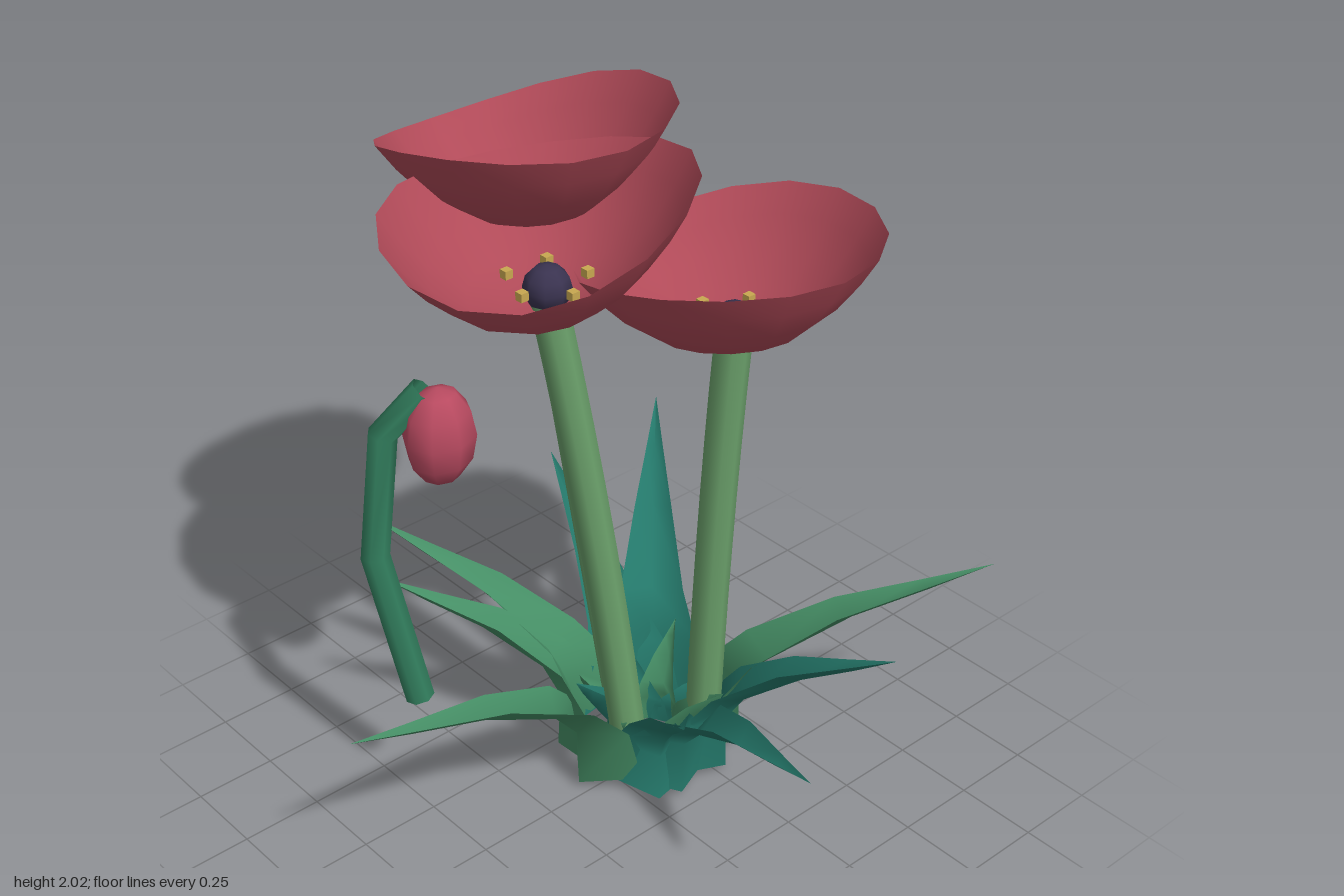
import * as THREE from 'three';

const mat = (color, side = THREE.FrontSide) => new THREE.MeshStandardMaterial({ color, side, roughness: 0.8 });
const petalMat = mat(0xb04a58, THREE.DoubleSide);
const budMat = mat(0xb84a60);
const stemMat = mat(0x6a9f6a, THREE.DoubleSide);
const budStemMat = mat(0x33805f, THREE.DoubleSide);
const pistilMat = mat(0x3a3350);
const stamenMat = mat(0xc8a850);
const tealMat = mat(0x257a6c, THREE.DoubleSide);
const greenMat = mat(0x468f66, THREE.DoubleSide);
const CENTRE = [-0.04, -0.175];
const V = (x, y, z) => new THREE.Vector3(x, y, z);

function add(parent, name, geometry, material, x = 0, y = 0, z = 0) {
  const mesh = new THREE.Mesh(geometry, material);
  mesh.name = name;
  mesh.position.set(x, y, z);
  parent.add(mesh);
  return mesh;
}

// Bowl-shaped bloom; tiltX and tiltZ raise one side of the rim, saddle and twist bend it
function bowl({ depth, tiltX, tiltZ, saddle, twist, shift }) {
  const R = 0.422;
  const profile = [0.001, 0.25, 0.5, 0.72, 0.88, 1].map(t => new THREE.Vector2(R * t, depth * Math.pow(t, 2.4)));
  const geo = new THREE.LatheGeometry(profile, 16);
  const p = geo.attributes.position;
  for (let i = 0; i < p.count; i++) {
    const x = p.getX(i), z = p.getZ(i);
    const t = Math.hypot(x, z) / R, a = Math.atan2(z, x);
    const lift = Math.pow(t, 1.3) * (tiltX * Math.cos(a) + tiltZ * Math.sin(a))
      + t * t * (saddle * Math.cos(2 * a) - twist * Math.sin(2 * a));
    p.setXYZ(i, x + shift[0] * t * t, p.getY(i) + lift, z + shift[1] * t * t);
  }
  geo.computeVertexNormals();
  return geo;
}

function flower(f) {
  const g = new THREE.Group();
  g.name = 'flower';
  const [x, y, z] = f.top;
  add(g, 'petalBowl', bowl(f), petalMat, x, y, z);
  add(g, 'pistil', new THREE.SphereGeometry(0.068, 8, 6), pistilMat, x, y + 0.05, z);
  // Ring of five stamens
  for (let i = 0; i < 5; i++) {
    const a = f.turn + i * Math.PI * 2 / 5;
    add(g, 'stamen', new THREE.BoxGeometry(0.025, 0.025, 0.025), stamenMat,
      x + 0.113 * Math.cos(a), y + 0.075, z + 0.113 * Math.sin(a));
  }
  // Gently curved stem
  const [bx, bz] = f.base;
  const mid = V((x + bx) / 2 + f.bow[0], 0.8, (z + bz) / 2 + f.bow[1]);
  const curve = new THREE.QuadraticBezierCurve3(V(bx, 0.02, bz), mid, V(x, y + 0.02, z));
  add(g, 'stem', new THREE.TubeGeometry(curve, 8, 0.053, 8), stemMat);
  return g;
}

// Folded blade that rises upright from the base, then arches out to its tip
function leaf(tip, baseRadius, halfWidth) {
  const dx = tip[0] - CENTRE[0], dz = tip[2] - CENTRE[1];
  const reach = Math.hypot(dx, dz), ux = dx / reach, uz = dz / reach;
  // along, height, width, outward fold, drop of the fold
  const rows = [[0, 0.05, 1, 0.11, 0.03], [0.04, 0.34, 0.88, 0.08, 0.02], [0.17, 0.53, 0.66, 0.06, 0.036],
    [0.47, 0.76, 0.4, 0.05, 0.03], [0.76, 0.89, 0.18, 0.025, 0.015], [1, 1, 0.004, 0, 0]];
  const pos = [], idx = [];
  rows.forEach(([s, h, w, fold, drop], i) => {
    const r = baseRadius + (reach - baseRadius) * s;
    for (const k of [-1, 0, 1]) {
      const out = r + (k === 0 ? fold : 0), side = k * w * halfWidth;
      // the clump is slightly longer front to back at its foot
      const stretch = 1 + 0.12 * Math.max(0, 1 - 5 * s);
      pos.push(CENTRE[0] + ux * out - uz * side, h * tip[1] - (k === 0 ? drop : 0),
        CENTRE[1] + (uz * out + ux * side) * stretch);
    }
    if (i) for (const k of [0, 1]) {
      const a = (i - 1) * 3 + k, b = a + 3;
      idx.push(a, a + 1, b, a + 1, b + 1, b);
    }
  });
  const geo = new THREE.BufferGeometry();
  geo.setAttribute('position', new THREE.Float32BufferAttribute(pos, 3));
  geo.setIndex(idx);
  geo.computeVertexNormals();
  return geo;
}

export function createModel() {
  const model = new THREE.Group();
  model.name = 'flowerClump';

  const flowers = [
    { top: [-0.125, 1.605, 0.125], depth: 0.28, tiltX: 0.02, tiltZ: -0.075, saddle: 0, twist: 0.04,
      shift: [-0.01, 0.02], base: [0.04, -0.04], bow: [0.03, -0.02], turn: -1.2 },
    { top: [-0.475, 1.645, -0.12], depth: 0.287, tiltX: 0.093, tiltZ: 0, saddle: -0.035, twist: 0,
      shift: [-0.025, 0.005], base: [-0.13, -0.16], bow: [0.02, 0], turn: -0.3 },
    { top: [0.12, 1.43, -0.33], depth: 0.285, tiltX: 0.075, tiltZ: -0.015, saddle: -0.02, twist: -0.015,
      shift: [-0.02, 0.01], base: [0.07, -0.3], bow: [0, 0.02], turn: 0.5 },
  ];
  flowers.forEach(f => model.add(flower(f)));

  // Nodding bud on its hooked stem
  const budGroup = new THREE.Group();
  budGroup.name = 'budSprig';
  model.add(budGroup);
  add(budGroup, 'bud', new THREE.SphereGeometry(1, 8, 6), budMat, -0.257, 1.25, 0.403).scale.set(0.095, 0.15, 0.108);
  // Straight segments with sharp bends
  const pts = [V(-0.3, 0.37, 0.49), V(-0.37, 0.87, 0.565), V(-0.36, 1.25, 0.52), V(-0.285, 1.385, 0.425)];
  const path = new THREE.Curve();
  path.getUtoTmapping = u => u;
  path.getPoint = t => {
    const i = Math.min(2, Math.floor(t * 3));
    return pts[i].clone().lerp(pts[i + 1], t * 3 - i);
  };
  add(budGroup, 'budStem', new THREE.TubeGeometry(path, 3, 0.043, 7), budStemMat);

  // Long arching leaves, by tip position
  const tealTips = [[0.7, 0.6, -0.44], [0.91, 0.61, 0.12], [0.42, 0.48, 0.11], [-0.87, 0.53, -0.49], [-0.68, 0.71, -0.78]];
  const greenTips = [[0.62, 0.66, -0.94], [0.01, 0.63, 0.94], [-0.56, 0.61, 0.41], [-0.81, 0.63, 0.26]];
  for (const t of tealTips) add(model, 'tealLeaf', leaf(t, 0.15, 0.145), tealMat);
  for (const t of greenTips) add(model, 'greenLeaf', leaf(t, 0.15, 0.145), greenMat);

  // Short inner tuft around the stem bases
  for (let i = 0; i < 8; i++) {
    const a = i * Math.PI / 4 + 0.3, r = 0.24;
    const tip = [CENTRE[0] + r * Math.cos(a), 0.2 + 0.05 * (i % 3), CENTRE[1] + r * Math.sin(a)];
    add(model, 'innerLeaf', leaf(tip, 0.04, 0.08), i % 2 ? greenMat : tealMat);
  }
  return model;
}
